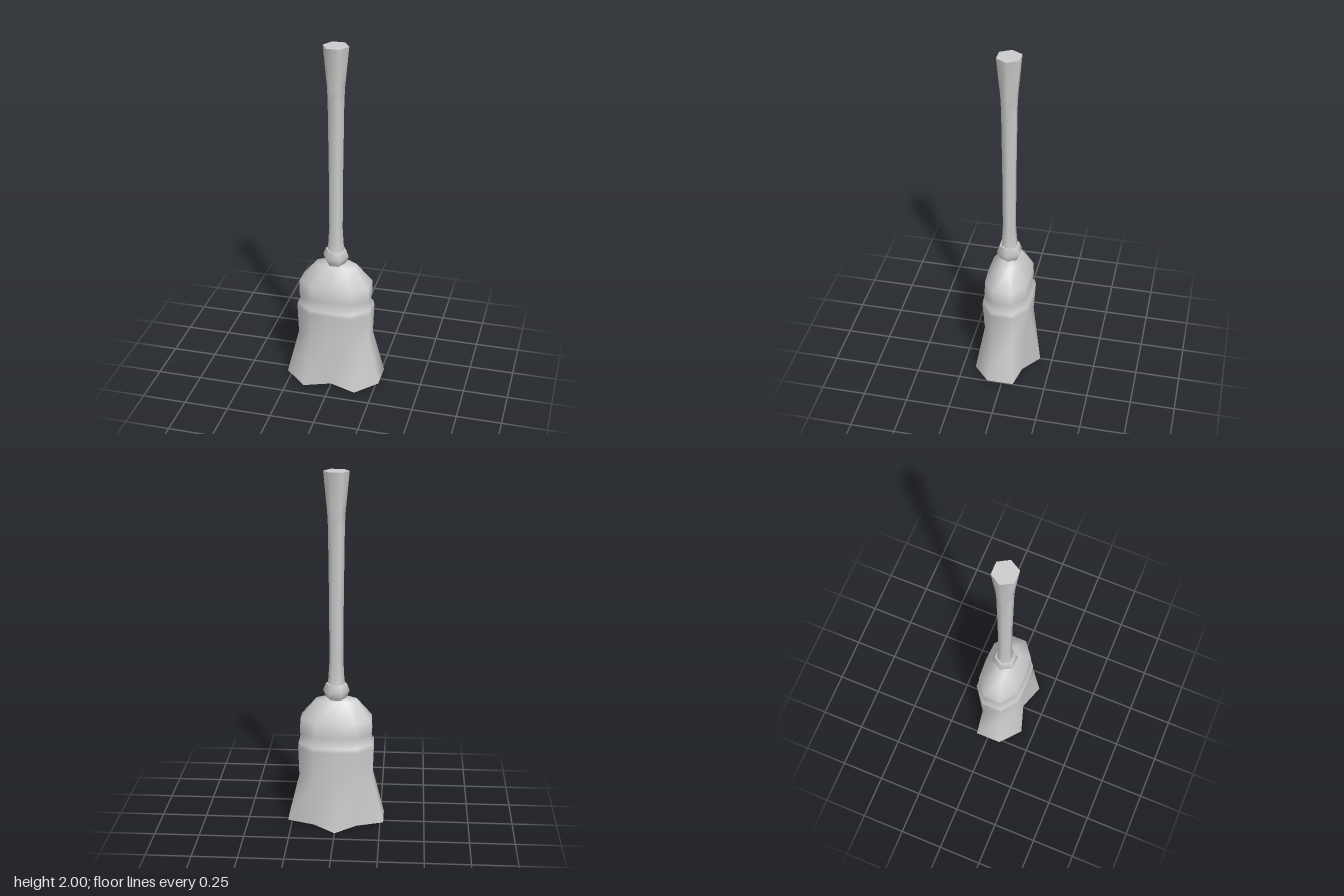
import * as THREE from 'three';

const material = new THREE.MeshStandardMaterial({ color: 0xcccccc });
const CENTER_Z = 0.006;

// Skins a stack of rings (bottom to top) with smooth sides and crisp flat caps.
function loft(name, rings, { top = true, bottom = true } = {}) {
  const n = rings[0].length;
  const pos = [], index = [];
  rings.forEach((ring) => ring.forEach((p) => pos.push(...p)));
  for (let r = 0; r < rings.length - 1; r++) {
    for (let i = 0; i < n; i++) {
      const j = (i + 1) % n;
      const a = r * n + i, b = r * n + j, c = b + n, d = a + n;
      index.push(a, b, c, a, c, d);
    }
  }
  const cap = (ring, up) => {
    const start = pos.length / 3;
    const y = ring.reduce((s, p) => s + p[1], 0) / n;
    pos.push(0, y, CENTER_Z);
    ring.forEach((p) => pos.push(...p));
    for (let i = 0; i < n; i++) {
      const a = start + 1 + i, b = start + 1 + ((i + 1) % n);
      index.push(start, up ? a : b, up ? b : a);
    }
  };
  if (bottom) cap(rings[0], false);
  if (top) cap(rings[rings.length - 1], true);
  const geometry = new THREE.BufferGeometry();
  geometry.setAttribute('position', new THREE.Float32BufferAttribute(pos, 3));
  geometry.setIndex(index);
  geometry.computeVertexNormals();
  const mesh = new THREE.Mesh(geometry, material);
  mesh.name = name;
  return mesh;
}

// Mirrors the +x half of a ten-sided ring, listed from front centre to back centre.
function mirrorRing(half) {
  const other = half.slice(1, -1).reverse().map(([x, y, z]) => [-x, y, z]);
  return [...half, ...other];
}

// Ten-sided oval ring with half width w and half depth d.
function ovalRing([y, w, d]) {
  const outline = [[0, 1], [0.57, 0.95], [1, 0.42], [1, -0.42], [0.57, -0.95], [0, -1]];
  return mirrorRing(outline.map(([x, z]) => [x * w, y, CENTER_Z + z * d]));
}

// Six-sided ring with corners on the x axis.
function hexRing([y, r]) {
  return Array.from({ length: 6 }, (_, i) => {
    const a = ((i + 0.5) * Math.PI) / 3;
    return [Math.sin(a) * r, y, CENTER_Z + Math.cos(a) * r];
  });
}

export function createModel() {
  const group = new THREE.Group();
  group.name = 'broom';

  // Bristles flare into an uneven, splayed hem.
  const hem = mirrorRing([
    [0, 0.005, 0.125], [0.15, 0.003, 0.177], [0.27, 0.022, 0.08],
    [0.27, 0.022, -0.07], [0.12, 0.008, -0.095], [0, 0, -0.18],
  ]);
  // Half width and half depth up the head, with the binding groove near y = 0.51.
  const head = [
    [0.29, 0.205, 0.126], [0.46, 0.21, 0.138], [0.485, 0.208, 0.135],
    [0.51, 0.192, 0.118], [0.545, 0.199, 0.126], [0.625, 0.197, 0.121],
    [0.73, 0.112, 0.062], [0.745, 0.03, 0.025],
  ];
  group.add(loft('bristleHead', [hem, ...head.map(ovalRing)]));

  // Collar where the handle meets the head.
  const collar = [[0.735, 0.05], [0.75, 0.06], [0.785, 0.073], [0.825, 0.058]];
  group.add(loft('collar', collar.map(hexRing)));

  // Long handle widening towards the grip.
  const handle = [
    [0.81, 0.05], [0.86, 0.044], [0.96, 0.038], [1.3, 0.04],
    [1.7, 0.045], [1.78, 0.049], [2, 0.07],
  ];
  group.add(loft('handle', handle.map(hexRing)));

  return group;
}
